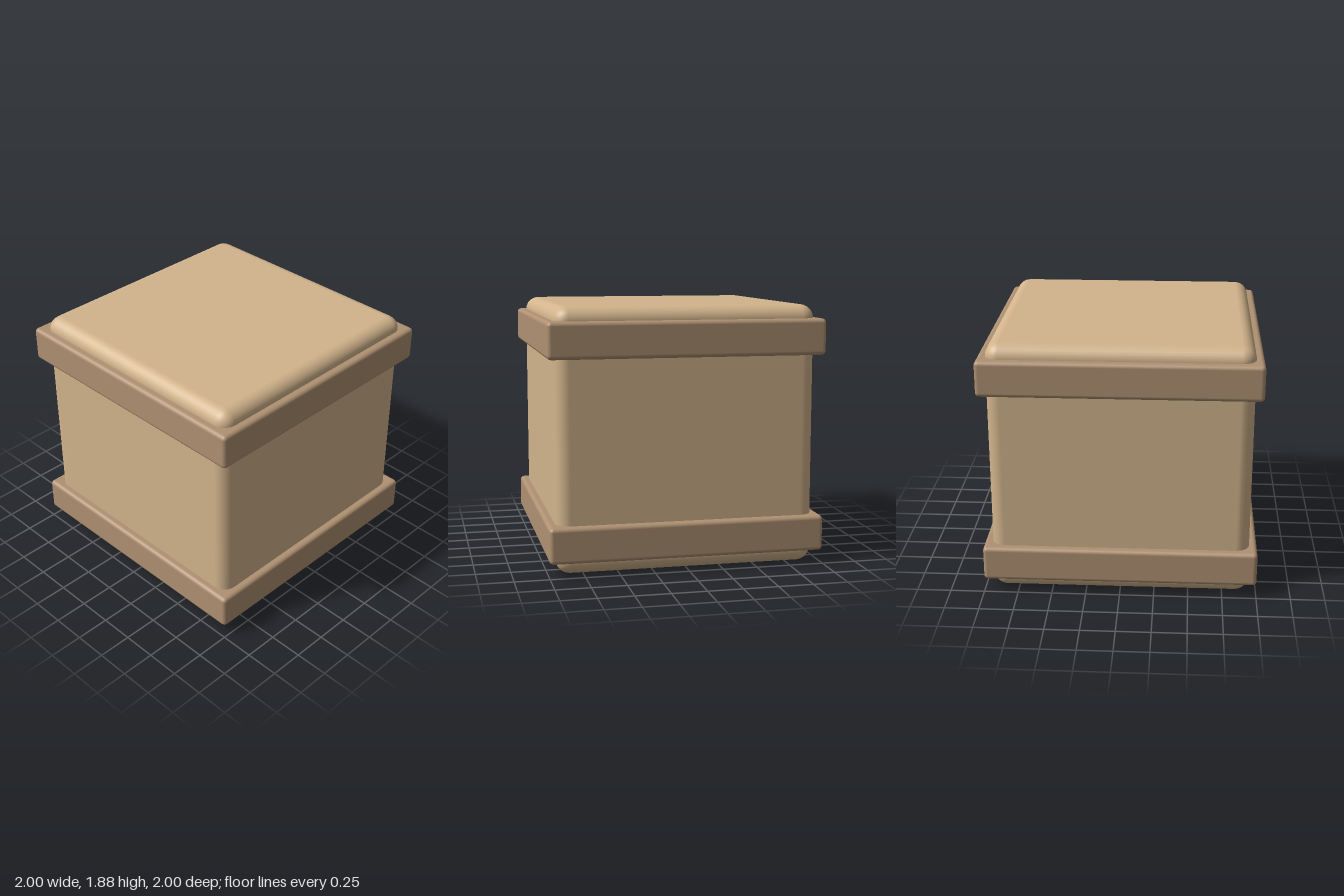
import * as THREE from 'three';
import { RoundedBoxGeometry } from 'three/addons/geometries/RoundedBoxGeometry.js';

export function createModel() {
  const model = new THREE.Group();
  model.name = 'crate';

  const bodyMaterial = new THREE.MeshStandardMaterial({ color: 0xd2b48c });
  const bandMaterial = new THREE.MeshStandardMaterial({ color: 0xaf9172 });

  function addRoundedBox(name, width, height, y, radius, material) {
    const geometry = new RoundedBoxGeometry(width, height, width, 3, radius);
    const mesh = new THREE.Mesh(geometry, material);
    mesh.name = name;
    mesh.position.y = y;
    model.add(mesh);
  }

  // Soft-edged cube
  const size = 1.885;
  addRoundedBox('body', size, size, size / 2, 0.1, bodyMaterial);

  // Bands wrapped around the cube, mirrored about its middle
  for (const [name, side] of [['lowerBand', -1], ['upperBand', 1]]) {
    addRoundedBox(name, 2, 0.26, size / 2 + side * 0.715, 0.03, bandMaterial);
  }

  return model;
}
